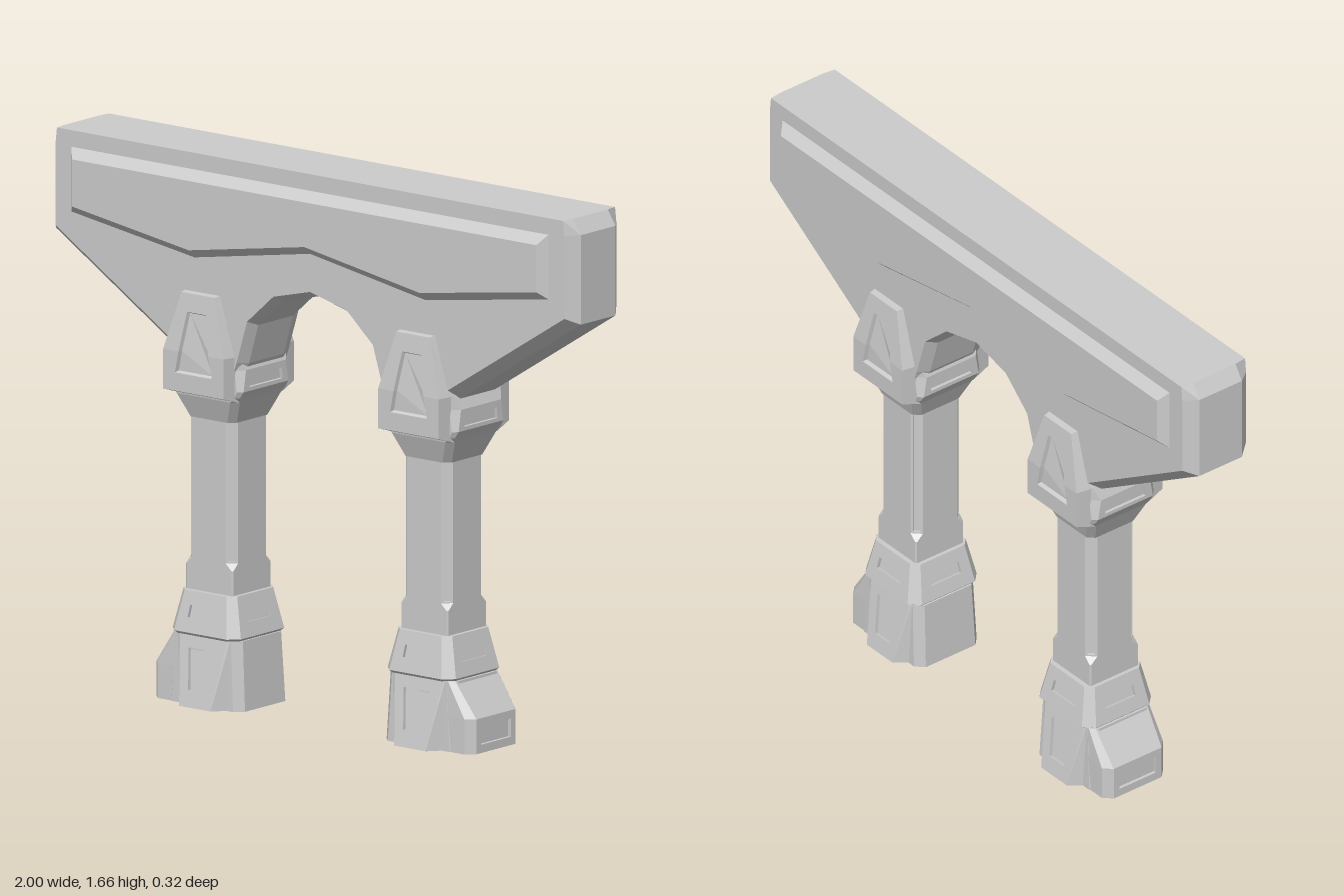
import * as THREE from 'three';

const material = new THREE.MeshStandardMaterial({ color: 0xcccccc, flatShading: true });
const V = (x, y, z) => new THREE.Vector3(x, y, z);

// Skins a stack of equal-length rings (counter-clockwise seen along the stack).
// panels maps 'layer,side' to a recess: {b: bottom u range, t: top u range, v: height range, d: depth}
function loft(name, rings, plane, panels = {}) {
  const pos = [];
  const tri = (...pts) => pts.forEach((p) => pos.push(p.x, p.y, p.z));
  const quad = (a, b, c, d) => { tri(a, b, c); tri(a, c, d); };
  const recess = (a, b, c, d, s) => {
    const at = (u, v) => a.clone().lerp(b, u).lerp(d.clone().lerp(c, u), v);
    const rim = [at(s.b[0], s.v[0]), at(s.b[1], s.v[0]), at(s.t[1], s.v[1]), at(s.t[0], s.v[1])];
    const n = c.clone().sub(a).cross(d.clone().sub(b)).normalize();
    const floor = rim.map((p) => p.clone().addScaledVector(n, -s.d));
    const outer = [a, b, c, d];
    for (let k = 0; k < 4; k++) {
      const m = (k + 1) % 4;
      quad(outer[k], outer[m], rim[m], rim[k]);
      quad(rim[k], rim[m], floor[m], floor[k]);
    }
    quad(...floor);
  };
  const n = rings[0].length;
  for (let i = 0; i < rings.length - 1; i++) {
    for (let j = 0; j < n; j++) {
      const k = (j + 1) % n;
      const q = [rings[i][j], rings[i][k], rings[i + 1][k], rings[i + 1][j]];
      const s = panels[i + ',' + j];
      if (s) recess(...q, s); else quad(...q);
    }
  }
  const flat = (p) => (plane === 'xy' ? new THREE.Vector2(p.x, p.y) : new THREE.Vector2(p.z, p.x));
  const first = rings[0], last = rings[rings.length - 1];
  for (const [a, b, c] of THREE.ShapeUtils.triangulateShape(first.map(flat), [])) tri(first[a], first[c], first[b]);
  for (const [a, b, c] of THREE.ShapeUtils.triangulateShape(last.map(flat), [])) tri(last[a], last[b], last[c]);
  const geo = new THREE.BufferGeometry();
  geo.setAttribute('position', new THREE.Float32BufferAttribute(pos, 3));
  geo.computeVertexNormals();
  const mesh = new THREE.Mesh(geo, material);
  mesh.name = name;
  return mesh;
}

// Rectangle with cut corners; sides 0, 2, 4, 6 face +z, +x, -z, -x, odd sides are the cuts
const oct = (y, hx, hz, c, cx = 0) => [
  [-hx + c, hz], [hx - c, hz], [hx, hz - c], [hx, -hz + c],
  [hx - c, -hz], [-hx + c, -hz], [-hx, -hz + c], [-hx, hz - c],
].map(([x, z]) => V(cx + x, y, z));

const sides = (layer, list, spec) => Object.fromEntries(list.map((j) => [layer + ',' + j, spec]));

// Full outline from its right half, listed from top centre line down and round to the arch crown
const mirrorX = (half) => [...half, ...half.slice().reverse().filter(([x]) => x > 0).map(([x, y]) => [-x, y])];

function makeBeam() {
  // Half outlines run clockwise from the top corner, so they are reversed below
  const edge = [[0.97, 1.665], [1, 1.62], [1, 1.35], [0.54, 1.06], [0.52, 1.0], [0.29, 1.0], [0.265, 1.05],
    [0.23, 1.17], [0.135, 1.255], [0, 1.29]];
  const face = [[0.965, 1.665], [0.97, 1.62], [0.97, 1.37], [0.51, 1.08], [0.51, 1.0], [0.3, 1.0], [0.28, 1.055],
    [0.24, 1.185], [0.14, 1.275], [0, 1.31]];
  const ring = (half, z) => mirrorX(half).reverse().map(([x, y]) => V(x, y, z));
  return loft('beam', [ring(face, -0.12), ring(edge, -0.08), ring(edge, 0.08), ring(face, 0.12)], 'xy');
}

// Raised panel with sloping rim
function makeBeamPanel() {
  const outer = [[0.91, 1.615], [0.91, 1.42], [0.44, 1.35], [0, 1.425]];
  const inner = [[0.885, 1.585], [0.885, 1.443], [0.44, 1.376], [0, 1.45]];
  const ring = (half, z) => mirrorX(half).reverse().map(([x, y]) => V(x, y, z));
  return loft('beamPanel', [ring(outer, 0.11), ring(outer, 0.12), ring(inner, 0.147)], 'xy');
}

// Tapered plate with a recessed window
function makeShield() {
  const z = (y) => 0.162 - Math.max(0, y - 1.07) * 0.12;
  const ring = (rows, dz, fixed) => [...rows.map(([x, y]) => [x, y]), ...rows.slice().reverse().map(([x, y]) => [-x, y])]
    .map(([x, y]) => V(x, y, fixed ?? z(y) - dz));
  const outer = [[0.115, 0.95], [0.115, 1.07], [0.063, 1.245]];
  const back = [[0.122, 0.93], [0.125, 1.07], [0.07, 1.25]];
  const window = [[0.07, 1.005], [0.057, 1.07], [0.036, 1.19]];
  const floor = [[0.065, 1.01], [0.053, 1.07], [0.033, 1.185]];
  return loft('shield', [ring(back, 0, 0.1), ring(outer, 0), ring(window, 0), ring(floor, 0.012)], 'xy');
}

// Foot cross-section: proud front and back faces between notched corners
function footRing(y, f, fz, gap, cz, xo, xi) {
  const right = [[f, fz], [f + gap, cz], [xo - 0.025, cz], [xo, cz - 0.025]];
  const left = [[-xi, cz - 0.025], [-xi + 0.025, cz], [-f - gap, cz], [-f, fz]];
  const flip = (list) => list.slice().reverse().map(([x, z]) => [x, -z]);
  return [...right, ...flip(right), ...flip(left), ...left].map(([x, z]) => V(x, y, z));
}

// One leg, its outer side towards +x
function makeLeg() {
  const leg = new THREE.Group();
  const wedge = { b: [0.25, 0.75], t: [0.2, 0.8], v: [0.24, 0.82], d: 0.01 };
  const foot = loft('foot', [
    footRing(0, 0.06, 0.155, 0.03, 0.118, 0.145, 0.14),
    footRing(0.21, 0.09, 0.115, 0.01, 0.113, 0.13, 0.128),
  ], 'xz', { '0,15': wedge, '0,7': wedge });

  const toe = loft('toe', [
    oct(0, 0.12, 0.115, 0.025, 0.08), oct(0.105, 0.12, 0.115, 0.025, 0.08), oct(0.21, 0.065, 0.112, 0.015, 0.06),
  ], 'xz', sides(0, [2], { b: [0.12, 0.88], t: [0.12, 0.88], v: [0.24, 0.76], d: 0.01 }));

  const collar = loft('collar', [
    oct(0.21, 0.122, 0.122, 0.03), oct(0.218, 0.13, 0.13, 0.03), oct(0.34, 0.102, 0.105, 0.022),
  ], 'xz', sides(1, [0, 2, 4, 6], { b: [0.2, 0.8], t: [0.2, 0.8], v: [0.36, 0.66], d: 0.01 }));

  // Slots run down the cut corners of the shaft
  const shaft = loft('shaft', [
    oct(0.3, 0.09, 0.09, 0.004), oct(0.415, 0.09, 0.09, 0.004), oct(0.435, 0.09, 0.09, 0.026), oct(0.87, 0.09, 0.09, 0.026),
  ], 'xz', sides(2, [1, 3, 5, 7], { b: [0.2, 0.8], t: [0.2, 0.8], v: [0.01, 0.97], d: 0.01 }));

  const capital = loft('capital', [
    oct(0.86, 0.09, 0.09, 0.02), oct(0.93, 0.122, 0.115, 0.02), oct(0.945, 0.13, 0.117, 0.012),
    oct(0.965, 0.143, 0.117, 0.014), oct(1.03, 0.143, 0.117, 0.025), oct(1.075, 0.125, 0.118, 0.006),
  ], 'xz', sides(3, [2, 6], { b: [0.12, 0.88], t: [0.12, 0.88], v: [0.18, 0.68], d: 0.01 }));

  const front = makeShield(), back = makeShield();
  back.rotation.y = Math.PI;
  leg.add(foot, toe, collar, shaft, capital, front, back);
  return leg;
}

export function createModel() {
  const model = new THREE.Group();
  model.name = 'archedGateway';
  const frontPanel = makeBeamPanel(), backPanel = makeBeamPanel();
  backPanel.rotation.y = Math.PI;
  model.add(makeBeam(), frontPanel, backPanel);

  // Each leg is symmetric front to back, so a half turn mirrors it
  for (const side of [1, -1]) {
    const leg = makeLeg();
    leg.name = side > 0 ? 'leftLeg' : 'rightLeg';
    leg.position.x = side * 0.41;
    if (side < 0) leg.rotation.y = Math.PI;
    model.add(leg);
  }
  return model;
}
